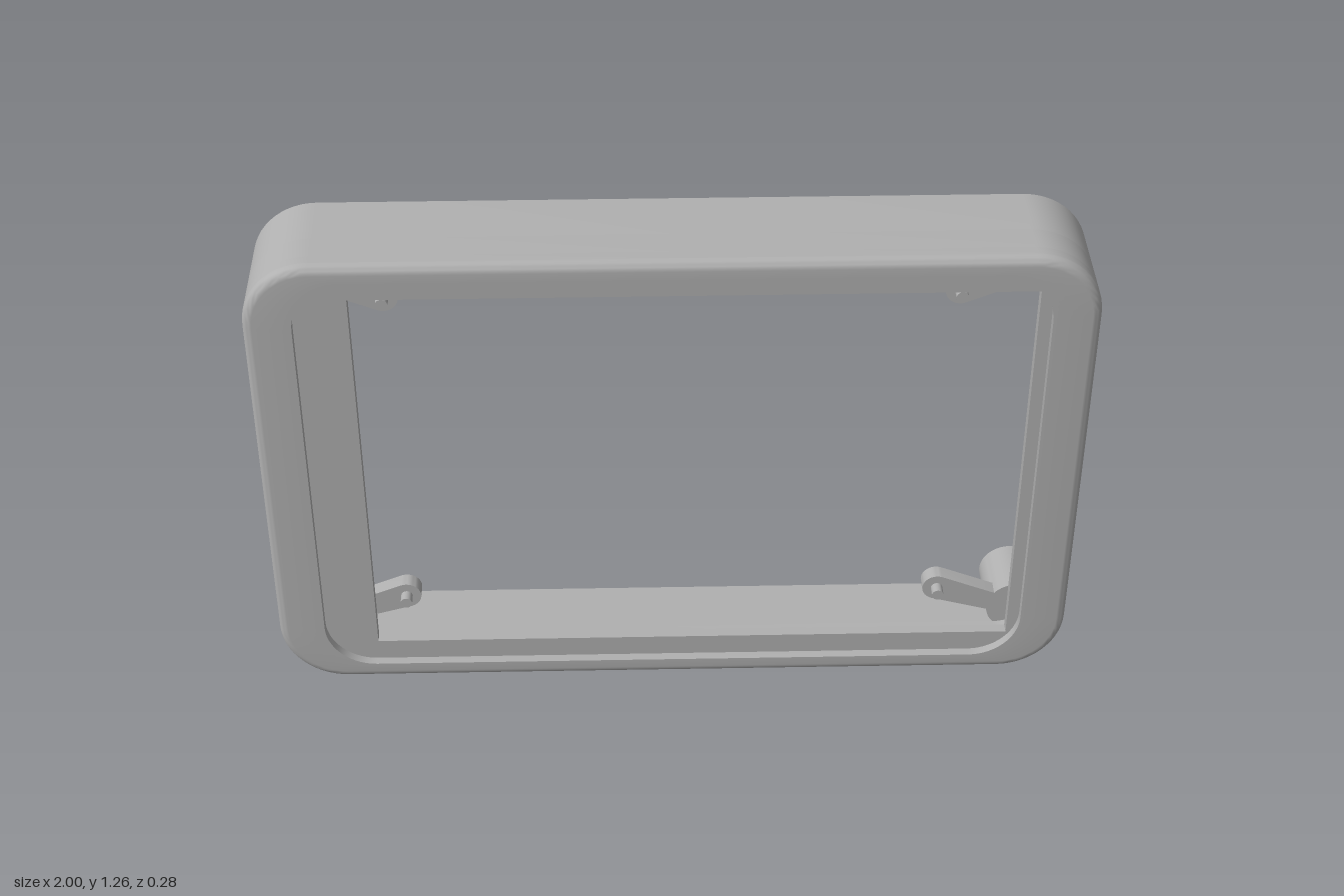
import * as THREE from 'three';
import { toCreasedNormals } from 'three/addons/utils/BufferGeometryUtils.js';

const W = 1, H = 0.6325, R = 0.165;             // outer half sizes and corner radius
const BACK = -0.14, STEP = 0.015, PLATE = 0.09, LEDGE = 0.117, FRONT = 0.14;
const BX = 0.893, BY = 0.5325, BR = 0.075;      // screw boss
const HOLE = 0.04;

// Points on an arc
function arc(cx, cy, r, a0, a1, n = 14) {
  return Array.from({ length: n + 1 }, (_, i) => {
    const a = a0 + (a1 - a0) * i / n;
    return new THREE.Vector2(cx + r * Math.cos(a), cy + r * Math.sin(a));
  });
}
const mirror = (pts, sx, sy) => pts.map(p => new THREE.Vector2(p.x * sx, p.y * sy));

// Closed loop from the points of its top corner at +x
function fourCorners(q) {
  return [...q, ...mirror(q, -1, 1).reverse(), ...mirror(q, -1, -1), ...mirror(q, 1, -1).reverse()];
}
const roundedRect = (w, h, r) => fourCorners(arc(w - r, h - r, r, 0, Math.PI / 2));

function slab(outline, holes, z0, z1) {
  const shape = new THREE.Shape(outline);
  holes.forEach(h => shape.holes.push(new THREE.Path(h)));
  const g = new THREE.ExtrudeGeometry(shape, { depth: z1 - z0, bevelEnabled: false });
  g.translate(0, 0, z0);
  return toCreasedNormals(g, 0.5);
}

// Skin through matching rings of points
function loft(rings) {
  const pos = [], idx = [], n = rings[0].pts.length;
  rings.forEach(({ pts, z }) => pts.forEach(p => pos.push(p.x, p.y, z)));
  for (let k = 0; k < rings.length - 1; k++) {
    for (let i = 0; i < n; i++) {
      const a = k * n + i, b = k * n + (i + 1) % n;
      idx.push(a, b, b + n, a, b + n, a + n);
    }
  }
  const g = new THREE.BufferGeometry();
  g.setAttribute('position', new THREE.Float32BufferAttribute(pos, 3));
  g.setIndex(idx);
  return toCreasedNormals(g, 0.6);
}

export function createModel() {
  const grey = new THREE.MeshStandardMaterial({ color: 0xb0b0b0 });
  grey.name = 'plain grey';
  const model = new THREE.Group();
  model.name = 'bezelFrame';
  const body = new THREE.Group();
  body.position.y = H;
  model.add(body);
  const add = (name, geometry) => {
    const m = new THREE.Mesh(geometry, grey);
    m.name = name;
    body.add(m);
    return m;
  };

  const corners = [[1, 1], [-1, 1], [-1, -1], [1, -1]];
  const outer = roundedRect(W, H, R);
  const CX = 0.953, CY = 0.5825;

  // Rear wall, its cavity stepping around the four screw bosses
  const a0 = -Math.acos((CX - BX) / BR);
  const a1 = Math.PI - Math.asin((CY - BY) / BR) - Math.PI * 2;
  const bossCavity = fourCorners(arc(BX, BY, BR, a0, a1, 24));
  const screwHoles = corners.map(([sx, sy]) => arc(BX * sx, BY * sy, HOLE, 0, Math.PI * 2 * 23 / 24, 23));
  add('rearWall', slab(outer, [bossCavity, ...screwHoles], BACK, STEP));

  // Middle wall with a plain cavity
  add('middleWall', slab(outer, [roundedRect(CX, CY, 0.115)], STEP, PLATE));

  // Ledge plate with the off-centre window
  const win = [[-0.755, -0.5275], [0.855, -0.5275], [0.855, 0.5275], [-0.755, 0.5275]]
    .map(p => new THREE.Vector2(...p));
  add('ledgePlate', slab(outer, [win], PLATE, LEDGE));

  // Front rim: rounded outer edge, flat face and recess wall
  const f = FRONT - LEDGE;
  const rings = [];
  for (let i = 0; i <= 6; i++) {
    const t = i / 6 * Math.PI / 2, inset = f * (1 - Math.cos(t));
    rings.push({ pts: roundedRect(W - inset, H - inset, R - inset), z: LEDGE + f * Math.sin(t) });
  }
  const recess = roundedRect(0.885, 0.585, 0.125);
  rings.push({ pts: recess, z: FRONT }, { pts: recess, z: LEDGE });
  add('frontRim', loft(rings));

  // Tapered arms with locating pins, and the floors of the screw holes
  const tip = new THREE.Vector2(0.684, 0.4635), root = new THREE.Vector2(0.835, 0.515);
  const dir = tip.clone().sub(root), th = Math.atan2(dir.y, dir.x);
  const side = new THREE.Vector2(-dir.y, dir.x).normalize().multiplyScalar(0.028);
  const armOutline = [
    root.clone().add(side), root.clone().sub(side),
    ...arc(tip.x, tip.y, 0.037, th - Math.PI / 2, th + Math.PI / 2, 16),
  ];
  for (const [sx, sy] of corners) {
    add('mountingArm', slab(mirror(armOutline, sx, sy), [], -0.025, STEP));

    const pin = add('locatingPin', new THREE.CylinderGeometry(0.015, 0.015, 0.035, 20));
    pin.rotation.x = Math.PI / 2;
    pin.position.set(tip.x * sx, tip.y * sy, STEP + 0.0125);

    const floor = add('screwHoleFloor', new THREE.CylinderGeometry(HOLE, HOLE, 0.015, 24));
    floor.rotation.x = Math.PI / 2;
    floor.position.set(BX * sx, BY * sy, STEP - 0.0075);
  }
  return model;
}
